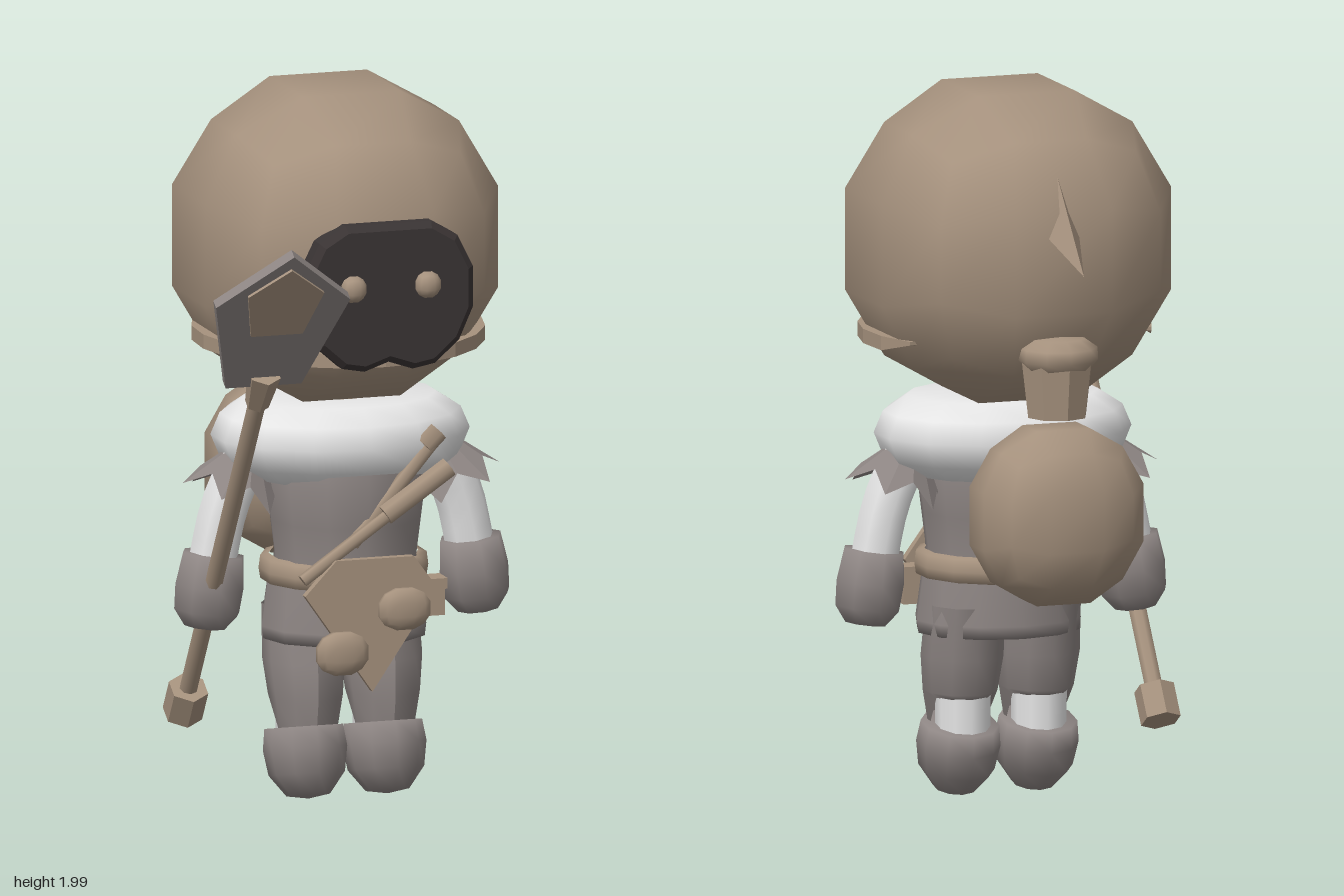
import * as THREE from 'three';
import { mergeVertices } from 'three/addons/utils/BufferGeometryUtils.js';
import { ConvexGeometry } from 'three/addons/geometries/ConvexGeometry.js';

const CX = 0.045; // body centre line

export function createModel() {
  const root = new THREE.Group();
  root.name = 'hoodedExplorer';
  const mat = (name, color, extra = {}) => {
    const m = new THREE.MeshStandardMaterial({ color, ...extra });
    m.name = name;
    return m;
  };
  const tan = mat('tanCloth', 0xa6927e);
  const gray = mat('warmGray', 0x8d8583, { side: THREE.DoubleSide });
  const white = mat('whiteCloth', 0xe6e6e6);
  const dark = mat('darkMask', 0x3a3434);

  const add = (name, geo, material, x = 0, y = 0, z = 0, parent = root) => {
    const m = new THREE.Mesh(geo, material);
    m.name = name;
    m.position.set(x, y, z);
    parent.add(m);
    return m;
  };
  const flat = (geo) => {
    const g = geo.index ? geo.toNonIndexed() : geo;
    g.computeVertexNormals();
    return g;
  };
  // Low-poly ball made from an inflated 3x3x3 cube
  const ball = (rx, ry, rz) => {
    let g = new THREE.BoxGeometry(2, 2, 2, 3, 3, 3);
    g.deleteAttribute('uv');
    g.deleteAttribute('normal');
    g = mergeVertices(g);
    const p = g.attributes.position, v = new THREE.Vector3();
    for (let i = 0; i < p.count; i++) {
      v.fromBufferAttribute(p, i).normalize().divideScalar(0.905);
      p.setXYZ(i, v.x * rx, v.y * ry, v.z * rz);
    }
    g.computeVertexNormals();
    return g;
  };
  // Elliptical lathe: profile is [radius, y] from bottom to top
  const turn = (profile, sides = 12, rx = 1, rz = 1) => {
    const g = new THREE.LatheGeometry(profile.map(([r, y]) => new THREE.Vector2(r, y)), sides);
    return g.scale(rx, 1, rz);
  };
  const plate = (pts, depth, bevel = 0) => new THREE.ExtrudeGeometry(
    new THREE.Shape(pts.map(([x, y]) => new THREE.Vector2(x, y))),
    { depth, bevelEnabled: bevel > 0, bevelThickness: bevel, bevelSize: bevel, bevelOffset: -bevel, bevelSegments: 1 });
  // Straight rod between two points
  const rod = (name, a, b, r0, r1, sides, material) => {
    const A = new THREE.Vector3(...a), B = new THREE.Vector3(...b);
    const d = B.clone().sub(A);
    const m = add(name, new THREE.CylinderGeometry(r1, r0, d.length(), sides), material);
    m.position.copy(A).add(B).multiplyScalar(0.5);
    m.quaternion.setFromUnitVectors(new THREE.Vector3(0, 1, 0), d.normalize());
    return m;
  };

  // Hood
  add('hood', ball(0.425, 0.43, 0.447), tan, CX, 1.57, -0.125);
  add('hoodTip', flat(new ConvexGeometry([
    [CX, 1.92, -0.42], [CX, 1.56, -0.73], [CX - 0.065, 1.68, -0.5],
    [CX + 0.065, 1.68, -0.5], [CX, 1.66, -0.54],
  ].map((p) => new THREE.Vector3(...p)))), tan);

  // Crescent hem around the front of the hood
  const hem = new THREE.Shape();
  for (let i = 0; i <= 14; i++) {
    const a = -0.5 + (i / 14) * (Math.PI + 1);
    hem[i ? 'lineTo' : 'moveTo'](0.405 * Math.cos(a), 0.43 * Math.sin(a));
  }
  for (let i = 14; i >= 0; i--) {
    const a = -0.5 + (i / 14) * (Math.PI + 1);
    hem.lineTo(0.3 * Math.cos(a), 0.33 * Math.sin(a) - 0.03);
  }
  const hemGeo = new THREE.ExtrudeGeometry(hem, { depth: 0.04, bevelEnabled: false }).rotateX(Math.PI / 2);
  const hp = hemGeo.attributes.position;
  for (let i = 0; i < hp.count; i++) { // underside rises toward the back ends
    if (hp.getY(i) < -0.02 && hp.getZ(i) < -0.1) hp.setY(i, -0.01);
  }
  hemGeo.computeVertexNormals();
  add('hoodHem', hemGeo, tan, CX, 1.33, -0.1);

  // Face mask and eyes
  const half = [[0.125, 1.7], [0.2, 1.655], [0.245, 1.565], [0.245, 1.45], [0.205, 1.36], [0.135, 1.298], [0.07, 1.286]];
  add('mask', plate([...half, [0, 1.31], ...half.map(([x, y]) => [-x, y]).reverse()], 0.05, 0.018), dark, CX, 0, 0.302);
  for (const s of [-1, 1]) add('eye', ball(0.035, 0.036, 0.034), tan, CX + s * 0.108, 1.525, 0.368);

  // Scarf collar, torso, skirt and belt
  add('collar', turn([[0.45, 0.91], [0.72, 0.915], [0.92, 0.96], [1, 1.03], [0.93, 1.09], [0.74, 1.135], [0.3, 1.135]], 14, 0.365, 0.287), white, CX, 0, -0.08);
  add('torso', turn([[0.98, 0.62], [0.96, 0.7], [1.02, 0.8], [1.08, 0.9], [1.0, 0.98]], 12, 0.21, 0.205), gray, CX, 0, -0.035);
  add('skirt', turn([[0.6, 0.52], [1.04, 0.465], [1.06, 0.5], [0.96, 0.66]], 12, 0.225, 0.188), gray, CX, 0, -0.045);
  add('belt', turn([[0.9, 0.62], [1, 0.625], [1.02, 0.655], [1, 0.69], [0.9, 0.695]], 14, 0.232, 0.215), tan, CX, 0, -0.05);

  // Arms and legs, mirrored about the centre line
  for (const s of [-1, 1]) {
    const side = s > 0 ? 'left' : 'right';
    const path = new THREE.CatmullRomCurve3([[0.23, 1.02], [0.3, 0.93], [0.345, 0.82], [0.375, 0.68]]
      .map(([x, y]) => new THREE.Vector3(s * x, y, -0.07)));
    add(side + 'Sleeve', new THREE.TubeGeometry(path, 6, 0.07, 8), white, CX);
    const glove = add(side + 'Glove', turn([[0, -0.11], [0.06, -0.105], [0.095, -0.06], [0.1, 0.01], [0.088, 0.1], [0, 0.1]], 8), gray, CX + s * 0.385, 0.61, -0.065);
    glove.rotation.z = s * 0.12;

    // Torn shoulder flap with a zigzag edge
    const flap = new THREE.ConeGeometry(0.15, 0.2, 12, 1, true);
    const fp = flap.attributes.position;
    for (let i = 0; i < fp.count; i++) {
      if (fp.getY(i) < 0 && i % 2) fp.setXYZ(i, fp.getX(i) * 0.75, -0.045, fp.getZ(i) * 0.75);
    }
    const f = add(side + 'ShoulderFlap', flat(flap), gray, CX + s * 0.285, 0.955, -0.07);
    f.rotation.z = s * 0.35;

    // Trouser leg, cut higher at the back
    const leg = turn([[0.085, 0.19], [0.102, 0.3], [0.113, 0.4], [0.108, 0.55]], 10, 1, 1.15);
    const lp = leg.attributes.position;
    for (let i = 0; i < lp.count; i++) {
      const y = lp.getY(i), z = lp.getZ(i);
      if (y < 0.2 && z < 0) lp.setY(i, 0.285);
      lp.setZ(i, z - 0.045 - Math.max(0, y - 0.3) * 0.16);
    }
    leg.computeVertexNormals();
    add(side + 'Trouser', leg, gray, CX + s * 0.112);
    add(side + 'Ankle', new THREE.CylinderGeometry(0.078, 0.075, 0.22, 10), white, CX + s * 0.112, 0.22, -0.066);
    const boot = add(side + 'Boot', turn([[0, -0.1], [0.06, -0.09], [0.105, -0.03], [0.116, 0.04], [0.108, 0.1], [0, 0.1]], 10, 1, 1.08), gray, CX + s * 0.115, 0.11, -0.03);
    boot.rotation.x = -0.22;
  }

  // Sack on the back
  add('sack', ball(0.235, 0.245, 0.172), tan, CX, 0.86, -0.51);
  add('sackNeck', flat(new THREE.CylinderGeometry(0.105, 0.085, 0.17, 8)), tan, CX, 1.22, -0.515);
  add('sackTop', turn([[0.09, -0.045], [0.112, -0.02], [0.11, 0.015], [0.075, 0.04], [0, 0.045]], 10), tan, CX, 1.315, -0.52);

  // Shovel-headed staff, leaning forward
  const staff = new THREE.Group();
  staff.name = 'staff';
  staff.position.set(-0.35, 0.26, -0.245);
  staff.rotation.x = 0.583;
  root.add(staff);
  add('staffShaft', new THREE.CylinderGeometry(0.026, 0.026, 1.25, 8), tan, 0, 0.625, 0, staff);
  add('staffPommel', flat(new THREE.CylinderGeometry(0.057, 0.057, 0.1, 6)), tan, 0, 0, 0, staff);
  add('staffSocket', flat(new THREE.CylinderGeometry(0.048, 0.034, 0.12, 6)), tan, 0, 1.215, 0, staff);
  add('staffBlade', plate([[0, 1.74], [-0.195, 1.56], [-0.11, 1.24], [0.11, 1.24], [0.195, 1.56]], 0.03), gray, 0, 0, -0.015, staff);
  add('bladeInset', plate([[0, 1.695], [-0.11, 1.6], [-0.075, 1.445], [0.075, 1.445], [0.11, 1.6]], 0.009), tan, 0, 0, 0.014, staff);

  // Crossed sticks on the chest
  rod('longStick', [-0.15, 0.67, 0.185], [0.14, 0.87, 0.185], 0.018, 0.018, 6, tan);
  rod('longStickGrip', [0.09, 0.84, 0.185], [0.275, 0.965, 0.185], 0.03, 0.03, 8, tan);
  rod('shortStick', [0, 0.76, 0.165], [0.23, 1.03, 0.165], 0.02, 0.02, 6, tan);
  rod('shortStickHead', [0.21, 1.025, 0.17], [0.25, 1.065, 0.17], 0.03, 0.03, 4, tan);

  // Apron flap with round pads, and a belt pouch
  add('apronFlap', plate([[-0.06, 0.725], [0.165, 0.725], [0.235, 0.63], [0.045, 0.35], [-0.15, 0.63]], 0.025), tan, 0, 0, 0.185);
  add('upperPad', ball(0.073, 0.058, 0.03), tan, 0.135, 0.58, 0.215);
  add('lowerPad', ball(0.073, 0.06, 0.03), tan, -0.045, 0.465, 0.215);
  add('pouch', new THREE.BoxGeometry(0.08, 0.1, 0.06), tan, 0.25, 0.58, 0.075);
  add('pouchLid', new THREE.BoxGeometry(0.09, 0.03, 0.07), tan, 0.25, 0.62, 0.077);
  return root;
}
